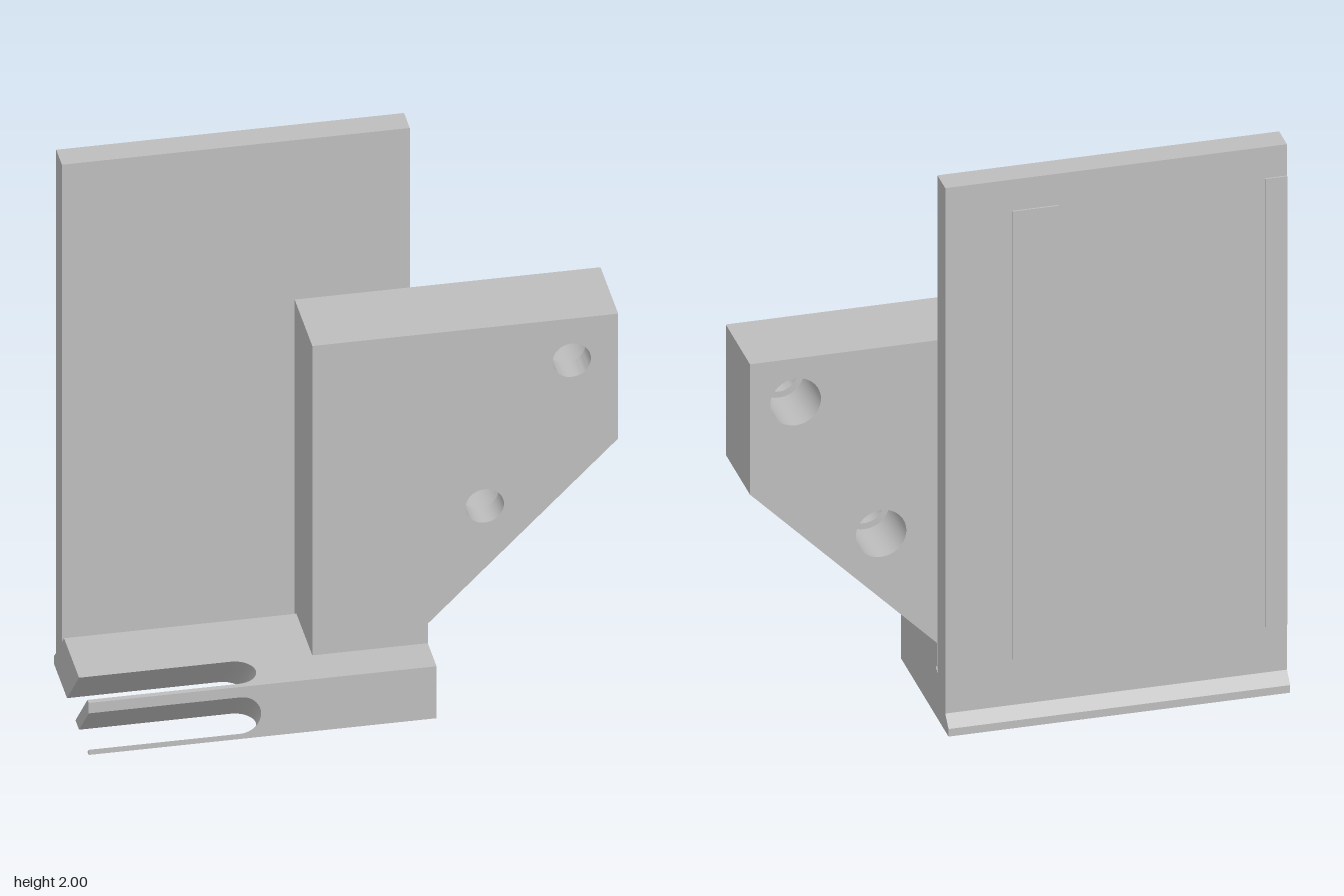
import * as THREE from 'three';
import { toCreasedNormals } from 'three/addons/utils/BufferGeometryUtils.js';

const grey = new THREE.MeshStandardMaterial({ color: 0xbdbdbd });
grey.name = 'plain grey';

const X0 = -0.9, X1 = 0.26;               // ends of the plate and base
const SLOT_END = -0.325, SLOT_R = 0.07;   // rounded end of the slanted slots

function addMesh(parent, name, geometry) {
  const mesh = new THREE.Mesh(geometry, grey);
  mesh.name = name;
  parent.add(mesh);
  return mesh;
}

// Joins [z, y] outlines placed along x; profile(h) takes the slot half width.
function loft(stations, profile) {
  const rings = stations.map(([x, h]) => profile(h).map(([z, y]) => [x, y, z]));
  const n = rings[0].length, pos = [];
  const tri = (...points) => points.forEach((p) => pos.push(...p));
  for (let s = 0; s < rings.length - 1; s++) {
    const a = rings[s], b = rings[s + 1];
    for (let i = 0; i < n; i++) {
      const j = (i + 1) % n;
      tri(a[i], b[i], b[j]);
      tri(a[i], b[j], a[j]);
    }
  }
  const cap = (ring, flip) => {
    const outline = ring.map((p) => new THREE.Vector2(p[2], p[1]));
    for (const [a, b, c] of THREE.ShapeUtils.triangulateShape(outline, [])) {
      if (flip) tri(ring[c], ring[b], ring[a]);
      else tri(ring[a], ring[b], ring[c]);
    }
  };
  cap(rings[0], false);
  cap(rings[rings.length - 1], true);
  const geometry = new THREE.BufferGeometry();
  geometry.setAttribute('position', new THREE.Float32BufferAttribute(pos, 3));
  return toCreasedNormals(geometry, 0.5);
}

// Corner relief groove, upright plate and rear lip
const rear = [
  [-0.12, 0.2], [-0.155, 0.165], [-0.155, 2], [-0.25, 2], [-0.25, 0.065], [-0.29, 0.028],
];
const solidProfile = () => [[-0.29, 0], [0.29, 0], [0.29, 0.2], ...rear];
const mainProfile = (h) => [[-0.29, 0], [-h, 0], [0.2 - h, 0.2], ...rear];
const barProfile = (h) => [[h, 0], [0.2 - h, 0], [0.29, 0.09 + h], [0.29, 0.2], [0.2 + h, 0.2]];
const stripProfile = (h) => [[0.2 + h, 0], [0.29, 0], [0.29, 0.09 - h]];

// Bracket slab with two round holes
function bracketSlab(holeRadius, z, depth) {
  const shape = new THREE.Shape([
    [-0.125, 0.185], [0.26, 0.185], [0.26, 0.275], [0.895, 0.91], [0.895, 1.39], [-0.125, 1.39],
  ].map(([x, y]) => new THREE.Vector2(x, y)));
  for (const [x, y] of [[0.74, 1.23], [0.45, 0.705]]) {
    const hole = new THREE.Path();
    hole.absarc(x, y, holeRadius, 0, Math.PI * 2, true);
    shape.holes.push(hole);
  }
  const geometry = new THREE.ExtrudeGeometry(shape, { depth, bevelEnabled: false, curveSegments: 24 });
  return toCreasedNormals(geometry.translate(0, 0, z), 0.5);
}

export function createModel() {
  const model = new THREE.Group();
  model.name = 'mountingBracket';

  // Slotted half: two parallel slots cut at 45 degrees, rounded at the inner end
  const stations = [[X0, SLOT_R]];
  for (let i = 0; i <= 14; i++) {
    const a = (i / 14) * Math.PI / 2;
    stations.push([SLOT_END - SLOT_R + SLOT_R * Math.sin(a), i === 14 ? 0 : SLOT_R * Math.cos(a)]);
  }
  const body = new THREE.Group();
  body.name = 'plateAndBase';
  model.add(body);
  addMesh(body, 'slottedPlateBase', loft(stations, mainProfile));
  addMesh(body, 'slotBar', loft(stations, barProfile));
  addMesh(body, 'slotFrontStrip', loft(stations, stripProfile));

  // Solid half
  addMesh(body, 'solidPlateBase', loft([[SLOT_END, 0], [X1, 0]], solidProfile));

  // Side arm with holes that widen towards the back
  const arm = new THREE.Group();
  arm.name = 'sideArm';
  model.add(arm);
  addMesh(arm, 'armFront', bracketSlab(0.064, 0.054, 0.09));
  addMesh(arm, 'armRear', bracketSlab(0.086, -0.15, 0.204));

  // Thin raised pads on the back of the plate
  for (const [x0, x1] of [[X0, -0.825], [-0.123, 0.032]]) {
    const pad = addMesh(model, 'backPad', new THREE.BoxGeometry(x1 - x0, 1.65, 0.007));
    pad.position.set((x0 + x1) / 2, 1.06, -0.2525);
  }
  return model;
}
